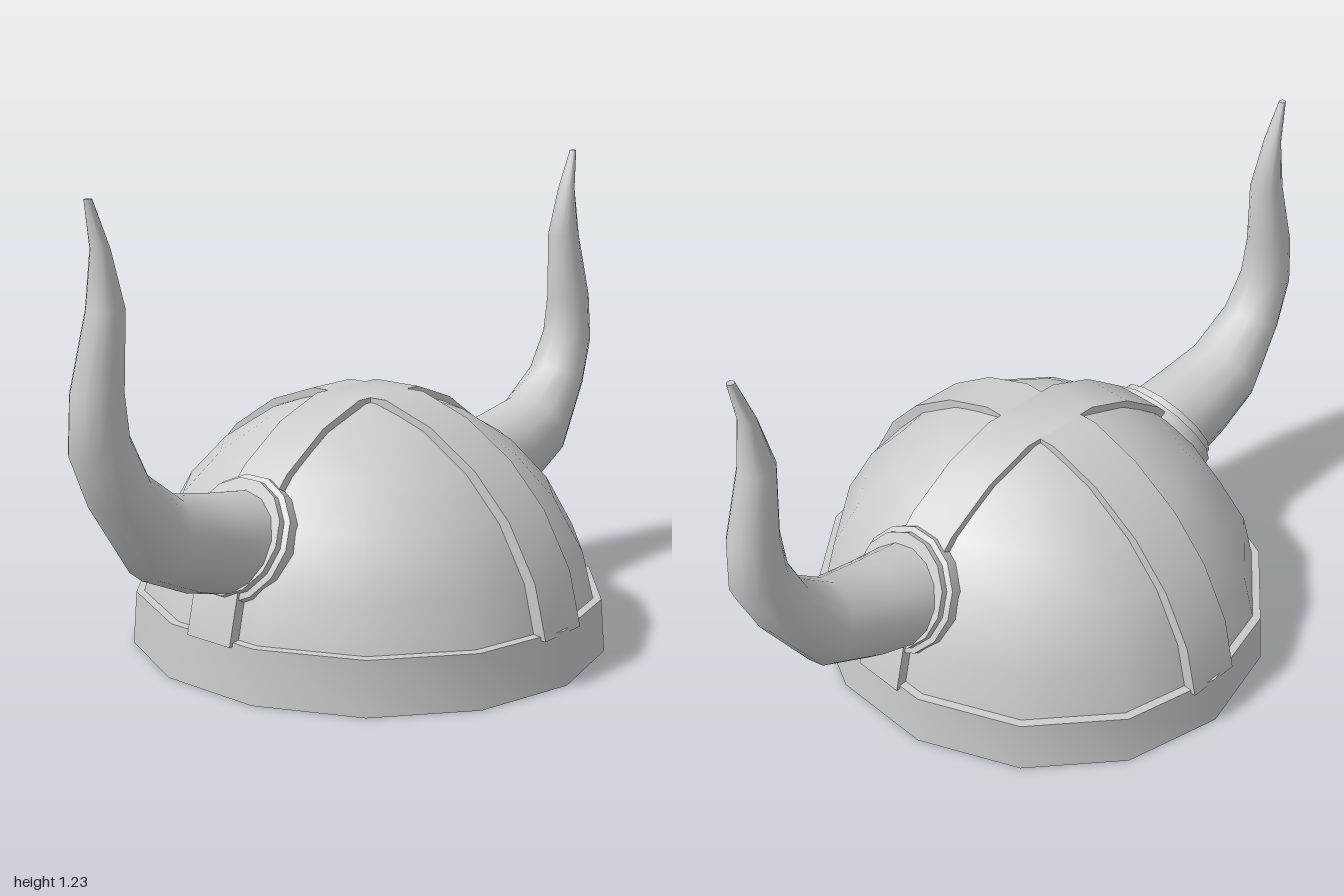
import * as THREE from 'three';
import { toCreasedNormals } from 'three/addons/utils/BufferGeometryUtils.js';

const SIDES = 14;
const SQUASH = 0.953; // helmet is slightly narrower than it is deep
const ARCH = [[0.63, 0.13], [0.595, 0.27], [0.515, 0.41], [0.41, 0.52], [0.27, 0.61], [0.125, 0.66]];
const material = new THREE.MeshStandardMaterial({ color: 0xcccccc });

function part(name, geometry, crease = 0.6) {
  const mesh = new THREE.Mesh(toCreasedNormals(geometry, crease), material);
  mesh.name = name;
  return mesh;
}

function lathe(points) {
  return new THREE.LatheGeometry(points.map(([r, y]) => new THREE.Vector2(r, y)), SIDES);
}

// Raised strap: an arch-shaped ring extruded to the strap's width
function strapGeometry(width) {
  const outer = [...ARCH, ...ARCH.map(([x, y]) => [-x, y]).reverse()];
  const inner = outer.map(([x, y]) => [x * 0.93, 0.13 + (y - 0.13) * 0.93]).reverse();
  const shape = new THREE.Shape([...outer, ...inner].map(([x, y]) => new THREE.Vector2(x, y)));
  return new THREE.ExtrudeGeometry(shape, { depth: width, bevelEnabled: false })
    .translate(0, 0, -width / 2);
}

// Horn: oval sections, each given by its outer edge, inner edge and depth radius
function hornGeometry() {
  const sections = [
    [0.58, 0.245, 0.45, 0.48, 0.135],
    [0.67, 0.27, 0.58, 0.5, 0.125],
    [0.81, 0.335, 0.71, 0.525, 0.11],
    [0.94, 0.53, 0.81, 0.6, 0.085],
    [0.997, 0.66, 0.855, 0.7, 0.07],
    [0.99, 0.8, 0.865, 0.8, 0.061],
    [0.94, 0.985, 0.85, 0.985, 0.045],
    [0.925, 1.12, 0.885, 1.12, 0.026],
    [0.945, 1.23, 0.925, 1.23, 0.009],
  ];
  const positions = [], index = [];
  for (const [ox, oy, ix, iy, rz] of sections) {
    for (let j = 0; j < SIDES; j++) {
      const a = (j / SIDES) * Math.PI * 2;
      const c = Math.cos(a) / 2;
      positions.push((ox + ix) / 2 + (ox - ix) * c, (oy + iy) / 2 + (oy - iy) * c, -rz * Math.sin(a));
    }
  }
  for (let i = 0; i < sections.length - 1; i++) {
    for (let j = 0; j < SIDES; j++) {
      const a = i * SIDES + j, b = i * SIDES + (j + 1) % SIDES;
      index.push(a, b, b + SIDES, a, b + SIDES, a + SIDES);
    }
  }
  // Tip cap
  const last = (sections.length - 1) * SIDES;
  for (let j = 1; j < SIDES - 1; j++) index.push(last, last + j, last + j + 1);
  const geometry = new THREE.BufferGeometry();
  geometry.setAttribute('position', new THREE.Float32BufferAttribute(positions, 3));
  geometry.setIndex(index);
  return geometry;
}

export function createModel() {
  const helmet = new THREE.Group();
  helmet.name = 'hornedHelmet';

  // Closed brow band and dome
  const band = lathe([[0, 0], [0.645, 0], [0.634, 0.14], [0.59, 0.143]]);
  helmet.add(part('browBand', band.scale(SQUASH, 1, 1)));
  const dome = lathe([...ARCH.map(([r, y]) => [r * 0.977, y * 0.98]), [0, 0.65]]);
  helmet.add(part('dome', dome.scale(SQUASH, 1, 1), 0.8));

  // Crossing straps
  helmet.add(part('sideToSideStrap', strapGeometry(0.145).scale(SQUASH, 1, 1)));
  helmet.add(part('frontToBackStrap', strapGeometry(0.15).rotateY(Math.PI / 2)));

  // Horns with stepped collars
  const collarProfile = [[0, -0.025], [0.165, -0.025], [0.165, 0.012], [0.15, 0.016], [0.15, 0.034], [0, 0.034]];
  for (const side of ['left', 'right']) {
    const horn = new THREE.Group();
    horn.name = side + 'Horn';
    const collar = part('hornCollar', lathe(collarProfile));
    collar.position.set(0.487, 0.362, 0);
    collar.rotation.z = -Math.PI / 2 + 0.5;
    horn.add(collar, part('hornShaft', hornGeometry(), 0.9));
    if (side === 'right') horn.rotation.y = Math.PI;
    helmet.add(horn);
  }
  return helmet;
}
